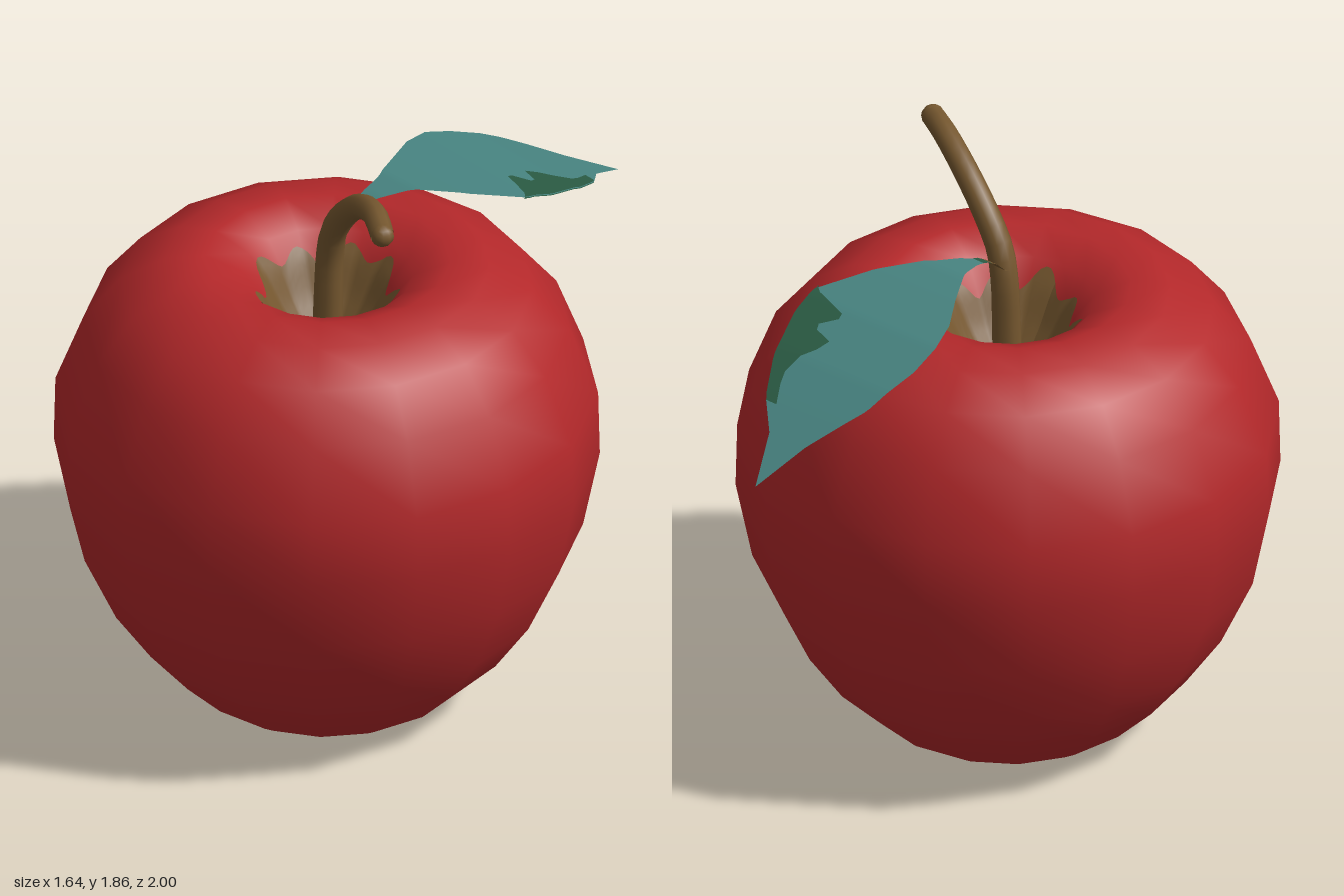
import * as THREE from 'three';

const mat = (name, color, side = THREE.FrontSide) => {
  const m = new THREE.MeshStandardMaterial({ color, side });
  m.name = name;
  return m;
};

// Piecewise-linear lookup in a list of [key, value] pairs with rising keys
const lookup = (table) => (t) => {
  for (let i = 1; i < table.length; i++) {
    const [a, va] = table[i - 1], [b, vb] = table[i];
    if (t <= b) return va + ((vb - va) * Math.max(0, t - a)) / (b - a);
  }
  return table[table.length - 1][1];
};

// Indexed surface from a rows x columns grid of points
function gridSurface(rows, cols, point) {
  const pos = [], idx = [];
  for (let i = 0; i <= rows; i++) for (let j = 0; j <= cols; j++) pos.push(...point(i / rows, j / cols));
  for (let i = 0; i < rows; i++) for (let j = 0; j < cols; j++) {
    const a = i * (cols + 1) + j, b = a + cols + 1;
    idx.push(a, b, a + 1, b, b + 1, a + 1);
  }
  const g = new THREE.BufferGeometry();
  g.setAttribute('position', new THREE.Float32BufferAttribute(pos, 3));
  g.setIndex(idx);
  g.computeVertexNormals();
  return g;
}

const SIDES = 16, CZ = 0.175;

// Fruit outline from the bottom dimple, round the flank, into the top dimple
const outline = [
  [0, 0.15], [0.06, 0.13], [0.17, 0.05], [0.29, 0.002], [0.37, 0.02], [0.43, 0.06], [0.56, 0.19], [0.67, 0.35],
  [0.77, 0.57], [0.82, 0.82], [0.815, 1.03], [0.73, 1.25], [0.62, 1.385], [0.49, 1.458], [0.37, 1.475],
];
const dimple = [[0, 1.12], [0.07, 1.15], [0.15, 1.26], [0.2, 1.35], [0.26, 1.425], [0.37, 1.475]];
const dimpleY = lookup(dimple);

// Leaf height and its two edges along z, from tip to stalk
const leafY = lookup([[-1, 1.31], [-0.74, 1.45], [-0.6, 1.52], [-0.4, 1.595], [-0.2, 1.637], [-0.1, 1.65],
  [0, 1.635], [0.06, 1.615], [0.1, 1.59], [0.15, 1.54]]);
const leafLeft = lookup([[-1, 0], [-0.84, 0.08], [-0.75, 0.17], [-0.63, 0.24], [-0.47, 0.29], [-0.37, 0.295],
  [-0.22, 0.2], [-0.08, 0.08], [0.03, 0.025], [0.15, 0.02]]);
const leafRight = lookup([[-1, 0], [-0.84, -0.06], [-0.67, -0.16], [-0.5, -0.2], [-0.4, -0.2], [-0.3, -0.17],
  [-0.2, -0.11], [-0.07, -0.04], [0.03, -0.02], [0.15, -0.02]]);
const blotchEdge = lookup([[-0.76, 0.12], [-0.7, 0.155], [-0.66, 0.17], [-0.6, 0.16], [-0.56, 0.13], [-0.52, 0.115],
  [-0.5, 0.18], [-0.48, 0.19], [-0.44, 0.145], [-0.42, 0.15], [-0.4, 0.21], [-0.38, 0.27], [-0.36, 0.295]]);

// Strip of leaf between two edges, sampled on one shared z spacing
const leafStrip = (z0, z1, right, left, lift = 0) =>
  gridSurface(Math.round((z1 - z0) / 0.02), 2, (u, v) => {
    const z = z0 + (z1 - z0) * u, r = right(z), l = left(z);
    return [r + (l - r) * v, leafY(z) + lift, z];
  });

export function createModel() {
  const model = new THREE.Group();
  model.name = 'apple';
  const red = mat('skin red', 0xb3282a);
  const brown = mat('stem brown', 0x75572f, THREE.DoubleSide);
  const teal = mat('leaf teal', 0x478380, THREE.DoubleSide);
  const green = mat('blotch green', 0x2a5a43, THREE.DoubleSide);

  const add = (name, geometry, material, parent = model) => {
    const m = new THREE.Mesh(geometry, material);
    m.name = name;
    parent.add(m);
    return m;
  };

  // Fruit body
  const profile = [...outline, ...dimple.slice(0, -1).reverse()].map(([r, y]) => new THREE.Vector2(r, y));
  add('fruit', new THREE.LatheGeometry(profile, SIDES), red).position.z = CZ;

  // Ragged brown stain lying on the facets of the top dimple
  const wedge = (2 * Math.PI) / SIDES;
  const stain = gridSurface(14, 96, (u, v) => {
    const a = v * 2 * Math.PI;
    const r = u * (0.21 + 0.02 * Math.sin(9 * a) + 0.012 * Math.sin(4 * a + 1));
    const facet = Math.cos((a % wedge) - wedge / 2) / Math.cos(wedge / 2);
    return [r * Math.sin(a), dimpleY(r * facet) + 0.006, r * Math.cos(a)];
  });
  add('dimpleStain', stain, brown).position.z = CZ;

  // Small spot in the bottom dimple
  const spot = add('bottomSpot', new THREE.ConeGeometry(0.02, 0.008, 8), brown);
  spot.position.set(0, 0.142, CZ);

  // Curved, tapering stem with a rounded tip
  const path = new THREE.CatmullRomCurve3([
    [0, 1.1, 0.175], [0.005, 1.35, 0.173], [0.012, 1.5, 0.172], [0.035, 1.59, 0.178], [0.1, 1.685, 0.19],
    [0.21, 1.775, 0.225], [0.34, 1.825, 0.285], [0.435, 1.823, 0.342],
  ].map((p) => new THREE.Vector3(...p)));
  const STEPS = 20, RADIAL = 10;
  const taper = (t) => 0.047 - 0.011 * t;
  const tube = new THREE.TubeGeometry(path, STEPS, 1, RADIAL);
  const p = tube.attributes.position, v = new THREE.Vector3();
  for (let i = 0; i < p.count; i++) {
    const t = Math.floor(i / (RADIAL + 1)) / STEPS, c = path.getPointAt(t);
    v.fromBufferAttribute(p, i).sub(c).multiplyScalar(taper(t)).add(c);
    p.setXYZ(i, v.x, v.y, v.z);
  }
  const stem = new THREE.Group();
  stem.name = 'stem';
  model.add(stem);
  add('stemShaft', tube, brown, stem);
  add('stemTip', new THREE.SphereGeometry(taper(1), 10, 8), brown, stem).position.copy(path.getPoint(1));

  // Leaf blade, stalk and green blotches on both faces
  const leaf = new THREE.Group();
  leaf.name = 'leaf';
  model.add(leaf);
  add('leafBlade', leafStrip(-1, 0.04, leafRight, leafLeft), teal, leaf);
  add('leafCollar', leafStrip(0.04, 0.08, leafRight, leafLeft), green, leaf);
  add('leafStalk', leafStrip(0.08, 0.16, leafRight, leafLeft), brown, leaf);
  for (const lift of [0.003, -0.003]) {
    add('leafBlotch', leafStrip(-0.76, -0.36, blotchEdge, leafLeft, lift), green, leaf);
  }
  return model;
}
